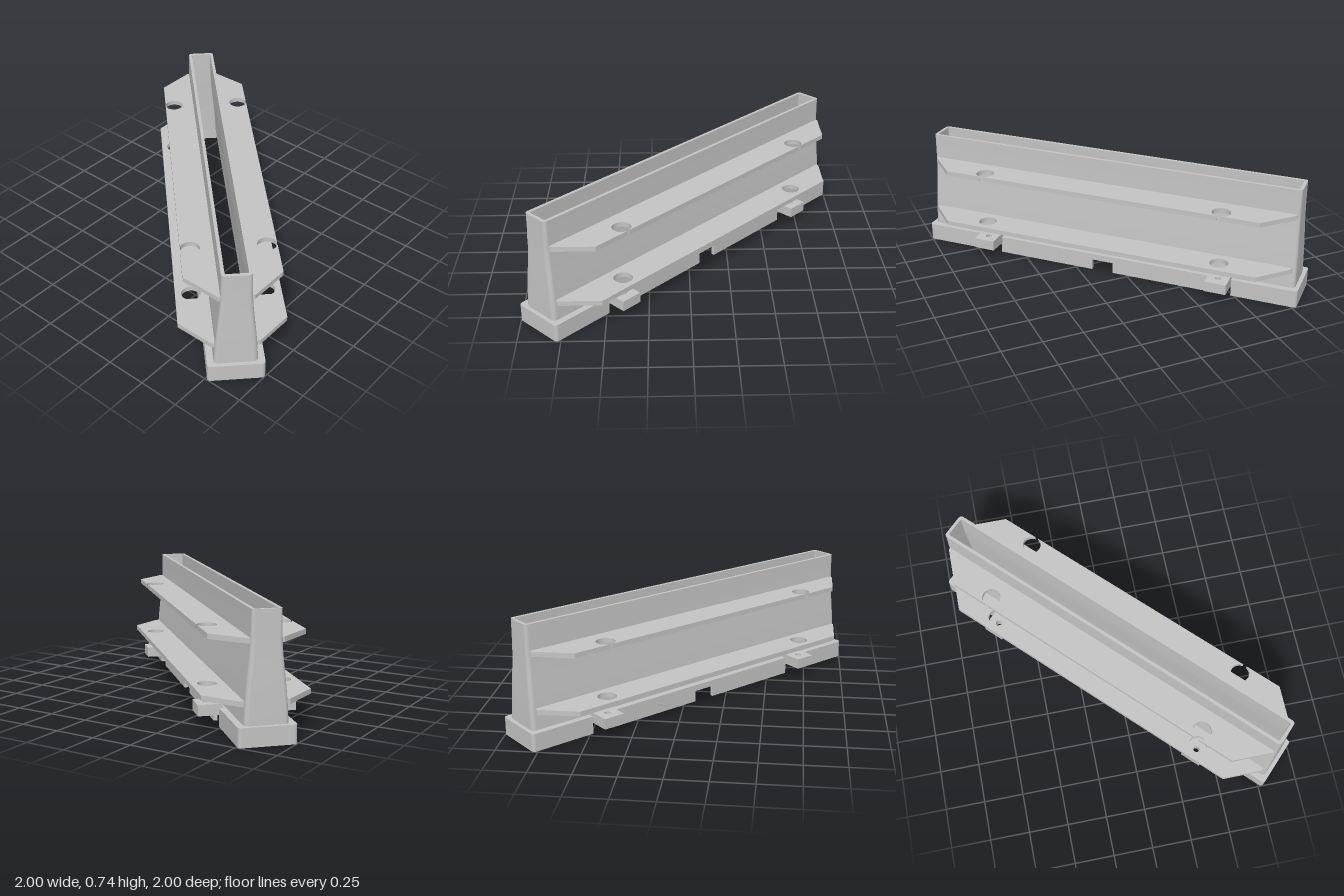
import * as THREE from 'three';

const grey = new THREE.MeshStandardMaterial({ color: 0xc4c4c4 });
grey.name = 'plain grey';

// Points of a rounded rectangle, counter-clockwise in (length, width)
function roundedRect(hl, hw, r, steps = 5) {
  const pts = [];
  [[1, 1], [-1, 1], [-1, -1], [1, -1]].forEach(([sx, sy], q) => {
    for (let i = 0; i <= steps; i++) {
      const a = (q + i / steps) * Math.PI / 2;
      pts.push(new THREE.Vector2(sx * (hl - r) + r * Math.cos(a), sy * (hw - r) + r * Math.sin(a)));
    }
  });
  return pts;
}

// Flat plate: outline lies in the ground plane, extruded from y0 up to y1
function plate(name, shape, y0, y1) {
  const g = new THREE.ExtrudeGeometry(shape, { depth: y1 - y0, bevelEnabled: false, curveSegments: 20 });
  g.rotateX(-Math.PI / 2);
  g.translate(0, y0, 0);
  const mesh = new THREE.Mesh(g, grey);
  mesh.name = name;
  return mesh;
}

function ring(name, outer, inner, y0, y1) {
  const shape = new THREE.Shape(outer);
  shape.holes.push(new THREE.Path(inner));
  return plate(name, shape, y0, y1);
}

// Skin through rounded-rectangle sections [y, half length, half width, radius]
function loft(name, sections) {
  const pos = [], index = [];
  let n = 0;
  sections.forEach(([y, hl, hw, r]) => {
    const pts = roundedRect(hl, hw, r);
    pts.push(pts[0]);
    n = pts.length;
    pts.forEach(p => pos.push(p.x, y, -p.y));
  });
  for (let s = 0; s < sections.length - 1; s++) {
    for (let i = 0; i < n - 1; i++) {
      const a = s * n + i, b = a + 1, c = a + n, d = c + 1;
      index.push(a, b, d, a, d, c);
    }
  }
  const g = new THREE.BufferGeometry();
  g.setAttribute('position', new THREE.Float32BufferAttribute(pos, 3));
  g.setIndex(index);
  g.computeVertexNormals();
  const mesh = new THREE.Mesh(g, grey);
  mesh.name = name;
  return mesh;
}

const BOLT_U = 0.782, BOLT_V = 0.22, HOLE_R = 0.057;

// Side flange with chamfered ends; the bolt holes may break through the outer edge
function flange(name, inner, outer, y0, y1, openHoles) {
  const end = 1.2056, flat = 1.029, s = new THREE.Shape();
  s.moveTo(-end, inner);
  s.lineTo(end, inner);
  s.lineTo(end, outer - (end - flat));
  s.lineTo(flat, outer);
  for (const u of [BOLT_U, -BOLT_U]) {
    if (openHoles) {
      const gap = 0.011, a = Math.acos(gap / HOLE_R);
      s.lineTo(u + gap, outer);
      s.absarc(u, BOLT_V, HOLE_R, a, Math.PI - a - 2 * Math.PI, true);
      s.lineTo(u - gap, outer);
    } else {
      const hole = new THREE.Path();
      hole.absarc(u, BOLT_V, HOLE_R, 0, Math.PI * 2, true);
      s.holes.push(hole);
    }
  }
  s.lineTo(-flat, outer);
  s.lineTo(-end, outer - (end - flat));
  s.closePath();
  return plate(name, s, y0, y1);
}

function rectShape(u0, u1, v0, v1) {
  return new THREE.Shape([[u0, v0], [u1, v0], [u1, v1], [u0, v1]].map(p => new THREE.Vector2(...p)));
}

export function createModel() {
  const model = new THREE.Group();
  model.name = 'flangedHousing';
  const body = new THREE.Group();
  body.name = 'housing';
  body.rotation.y = -Math.PI / 4;
  model.add(body);

  // Hollow tapered wall, open at top and bottom
  const profile = [
    [0.10, 1.234, 0.126, 0.025], [0.2, 1.233, 0.121, 0.025], [0.3, 1.231, 0.113, 0.025],
    [0.4, 1.228, 0.103, 0.025], [0.5, 1.225, 0.093, 0.024], [0.58, 1.224, 0.088, 0.022],
    [0.735, 1.223, 0.085, 0.02],
  ];
  const wall = 0.02;
  const inside = profile.map(([y, l, w, r]) => [y === 0.1 ? 0.09 : y, l - wall, w - wall, r * 0.4]).reverse();
  body.add(loft('outerWall', profile));
  body.add(loft('innerWall', inside));
  body.add(ring('topRim', roundedRect(1.223, 0.085, 0.02), roundedRect(1.203, 0.065, 0.008), 0.733, 0.735));

  // Foot: roof, wall band, then notched skirt
  const L = 1.258, W = 0.165, T = 0.022, R = 0.02;
  const outer = roundedRect(L, W, R), cavity = roundedRect(L - T, W - T, 0.006);
  body.add(ring('footRoof', outer, roundedRect(1.214, 0.106, 0.01), 0.09, 0.11));
  body.add(ring('footBand', outer, cavity, 0.07, 0.09));

  for (const turn of [0, Math.PI]) {
    const side = new THREE.Group();
    side.name = turn ? 'rearHalf' : 'frontHalf';
    side.rotation.y = turn;
    body.add(side);

    // U-shaped end of the skirt
    const u0 = 0.85, e = new THREE.Shape();
    e.moveTo(u0, -W);
    e.lineTo(L - R, -W);
    e.absarc(L - R, -W + R, R, -Math.PI / 2, 0, false);
    e.lineTo(L, W - R);
    e.absarc(L - R, W - R, R, 0, Math.PI / 2, false);
    e.lineTo(u0, W);
    e.lineTo(u0, W - T);
    e.lineTo(L - T, W - T);
    e.lineTo(L - T, -W + T);
    e.lineTo(u0, -W + T);
    e.closePath();
    side.add(plate('skirtEnd', e, 0, 0.07));

    // Skirt runs between the notches, and drilled bolt blocks
    for (const s of [-1, 1]) {
      const a = s > 0 ? 0.07 : -0.72, b = s > 0 ? 0.72 : -0.07;
      side.add(plate('skirtRun', rectShape(a, b, W - T, W), 0, 0.07));

      const u = s * BOLT_U;
      const block = rectShape(u - 0.068, u + 0.068, 0.142, 0.289);
      const drill = new THREE.Path();
      drill.absarc(u, BOLT_V, 0.02, 0, Math.PI * 2, true);
      block.holes.push(drill);
      side.add(plate('boltBlock', block, 0.07, 0.135));
    }

    side.add(flange('lowerFlange', 0.108, 0.313, 0.21, 0.24, false));
    side.add(flange('upperFlange', 0.078, 0.278, 0.55, 0.58, true));
  }
  return model;
}
